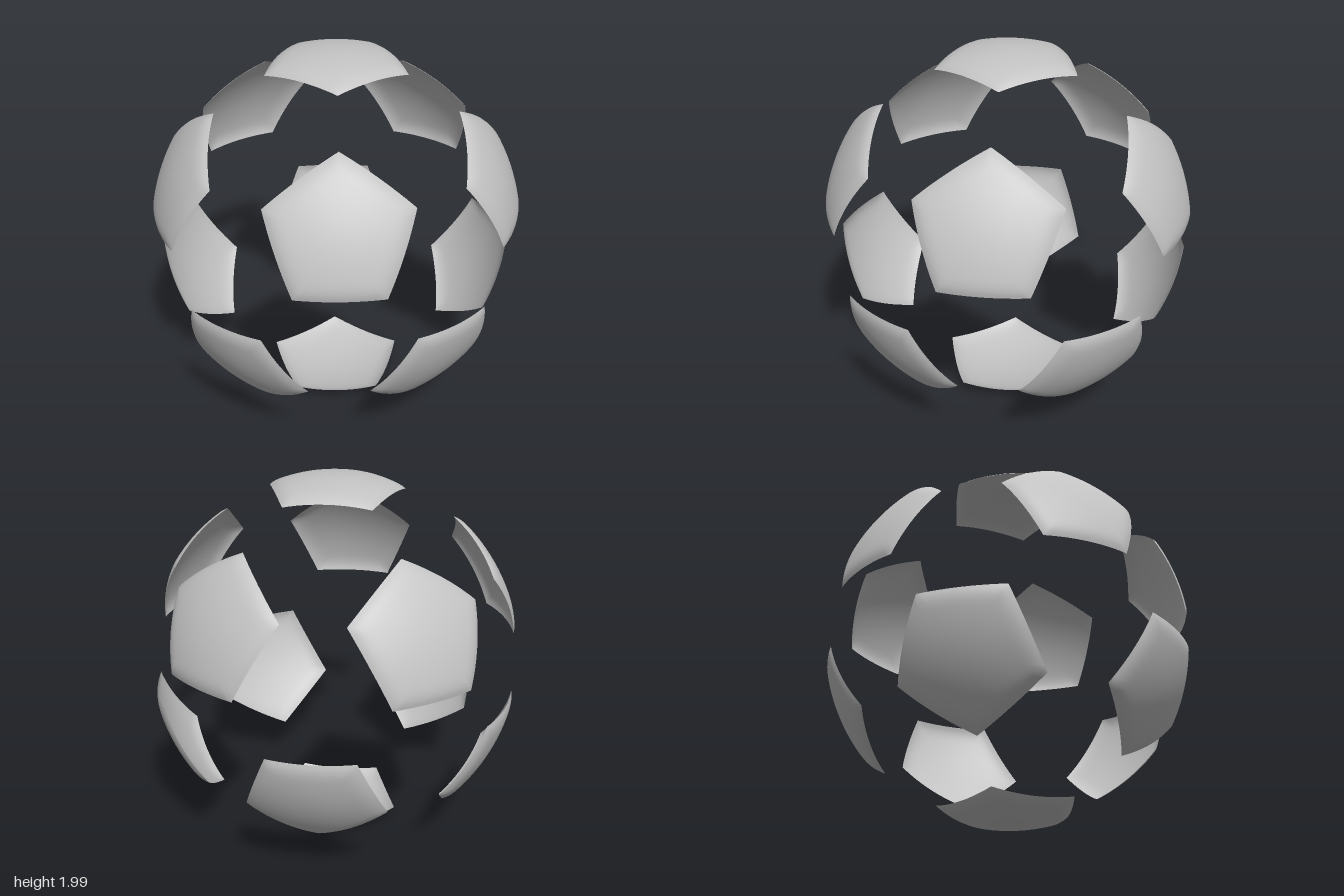
import * as THREE from 'three';

const RADIUS = 0.995; // ball radius at a panel centre
const DROP = 0.016; // how far the panel rim curls inward
const CORNER = THREE.MathUtils.degToRad(22.6); // panel centre to corner
const TILT = Math.atan(2); // angle between neighbouring panel centres

// Domed pentagon around +y with one corner toward +x, made of concentric rings
function panelGeometry(rings = 16, perEdge = 12) {
  const around = 5 * perEdge;
  const positions = [0, RADIUS, 0];
  const indices = [];
  const corner = (k) => {
    const a = (k * Math.PI * 2) / 5;
    return new THREE.Vector3(Math.cos(a), 0, Math.sin(a)).multiplyScalar(Math.tan(CORNER));
  };
  for (let r = 1; r <= rings; r++) {
    const t = r / rings;
    const curl = Math.max(0, (t - 0.65) / 0.35) ** 3;
    for (let i = 0; i < around; i++) {
      const k = Math.floor(i / perEdge);
      const p = corner(k).lerp(corner(k + 1), (i % perEdge) / perEdge).multiplyScalar(t);
      p.y = 1;
      p.setLength(RADIUS - DROP * curl);
      positions.push(p.x, p.y, p.z);
    }
  }
  const at = (r, i) => (r === 0 ? 0 : 1 + (r - 1) * around + (i % around));
  for (let r = 0; r < rings; r++) {
    for (let i = 0; i < around; i++) {
      indices.push(at(r, i), at(r + 1, i + 1), at(r + 1, i));
      if (r > 0) indices.push(at(r, i), at(r, i + 1), at(r + 1, i + 1));
    }
  }
  const geometry = new THREE.BufferGeometry();
  geometry.setAttribute('position', new THREE.Float32BufferAttribute(positions, 3));
  geometry.setIndex(indices);
  geometry.computeVertexNormals();
  return geometry;
}

// One pole panel and the ring of five around it
function halfBall(name, geometry, material) {
  const half = new THREE.Group();
  half.name = name;
  const pole = new THREE.Mesh(geometry, material);
  pole.name = 'polePanel';
  half.add(pole);
  for (let k = 0; k < 5; k++) {
    const panel = new THREE.Mesh(geometry, material);
    panel.name = `ringPanel${k + 1}`;
    // turn a corner toward the pole, lean outward, then swing round
    panel.rotation.set(0, Math.PI, 0);
    panel.rotateOnWorldAxis(new THREE.Vector3(0, 0, 1), -TILT);
    panel.rotateOnWorldAxis(new THREE.Vector3(0, 1, 0), (k * Math.PI * 2) / 5);
    half.add(panel);
  }
  return half;
}

export function createModel() {
  const panelGrey = new THREE.MeshStandardMaterial({ color: 0xc4c4c4, side: THREE.DoubleSide });
  panelGrey.name = 'panelGrey';
  const geometry = panelGeometry();

  const ball = new THREE.Group();
  ball.name = 'ballPanels';
  const upper = halfBall('upperPanels', geometry, panelGrey);
  const lower = halfBall('lowerPanels', geometry, panelGrey);
  lower.rotation.z = Math.PI;
  ball.add(upper, lower);
  ball.position.y = 1.005;

  const model = new THREE.Group();
  model.name = 'pentagonBall';
  model.add(ball);
  return model;
}
